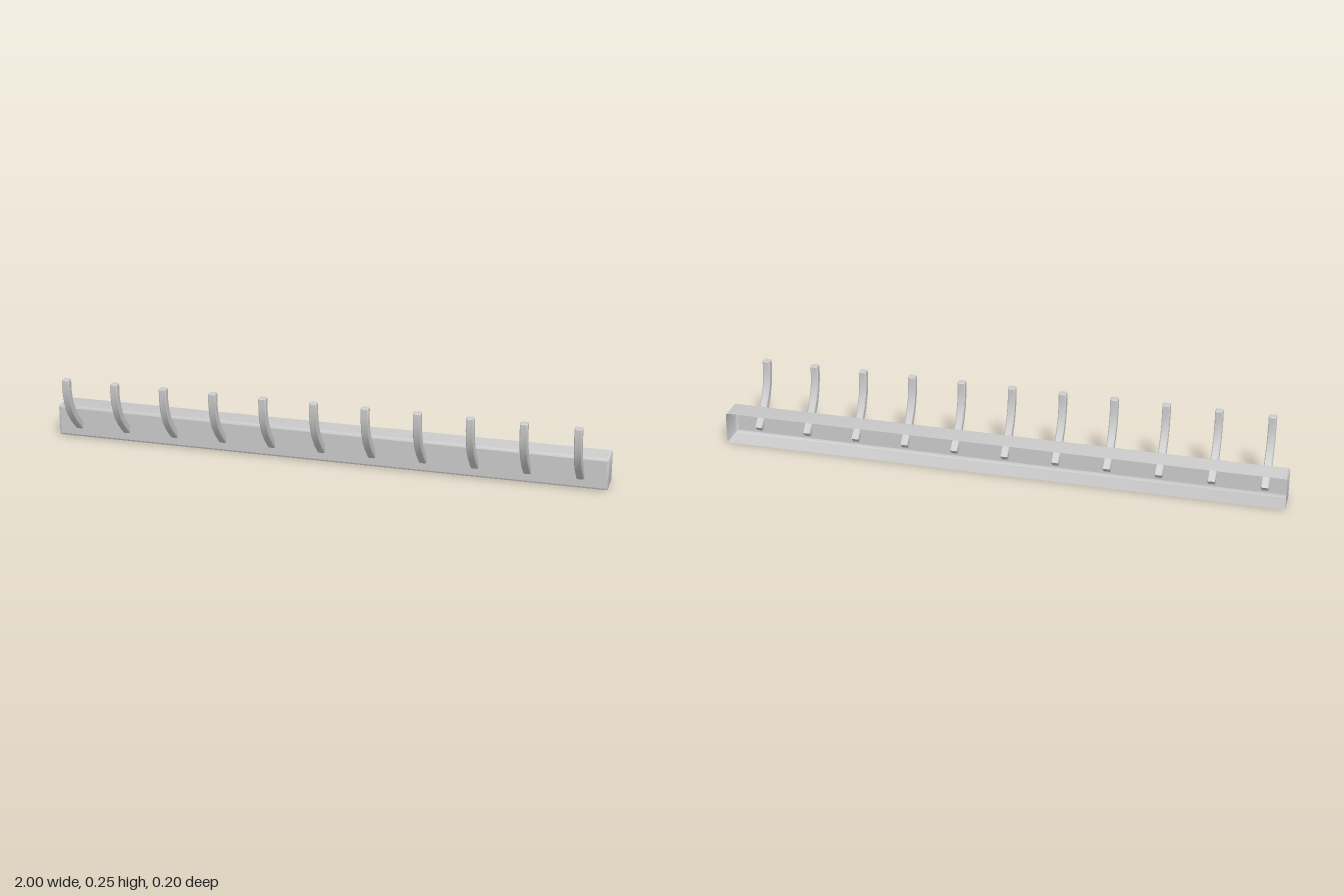
import * as THREE from 'three';
import { toCreasedNormals } from 'three/addons/utils/BufferGeometryUtils.js';

const material = new THREE.MeshStandardMaterial({ color: 0xcccccc, side: THREE.DoubleSide });

// Rectangle outline with rounded corners, inset from the rail's full size
function railLoop(inset, z) {
  const r = 0.008, hx = 1 - inset, hy = 0.0575 - inset, pts = [];
  const rr = Math.max(r - inset, 0.001);
  [[1, 1], [-1, 1], [-1, -1], [1, -1]].forEach(([sx, sy], q) => {
    for (let i = 0; i <= 2; i++) {
      const a = (q + i / 2) * Math.PI / 2;
      pts.push([sx * (hx - rr) + rr * Math.cos(a), 0.0575 + sy * (hy - rr) + rr * Math.sin(a), z]);
    }
  });
  return pts;
}

// Thin shell, open at the back, with softened front edges
function railGeometry() {
  const loops = [railLoop(0, -0.1), railLoop(0, -0.018), railLoop(0.0025, -0.0125), railLoop(0.008, -0.01)];
  const n = loops[0].length;
  const positions = [...loops.flat(2), 0, 0.0575, -0.01];
  const index = [];
  for (let k = 0; k < loops.length - 1; k++) {
    for (let i = 0; i < n; i++) {
      const a = k * n + i, b = k * n + (i + 1) % n;
      index.push(a, b, b + n, a, b + n, a + n);
    }
  }
  // Front panel
  const last = (loops.length - 1) * n;
  for (let i = 0; i < n; i++) index.push(last + i, last + (i + 1) % n, loops.length * n);
  const geometry = new THREE.BufferGeometry();
  geometry.setAttribute('position', new THREE.Float32BufferAttribute(positions, 3));
  geometry.setIndex(index);
  return toCreasedNormals(geometry, 0.4);
}

// Side profile of a hook (z, y), its lower end passing through the front panel
function hookGeometry() {
  const profile = [
    [-0.022, 0.022], [-0.01, 0.033], [0.036, 0.076], [0.067, 0.115], [0.088, 0.162], [0.098, 0.21], [0.098, 0.25],
    [0.095, 0.254], [0.075, 0.254], [0.072, 0.25],
    [0.072, 0.21], [0.063, 0.168], [0.044, 0.13], [0.02, 0.098], [-0.01, 0.068], [-0.04, 0.041],
  ];
  const shape = new THREE.Shape(profile.map(([z, y]) => new THREE.Vector2(z, y)));
  const bevel = 0.003, width = 0.027;
  const geometry = new THREE.ExtrudeGeometry(shape, {
    depth: width - 2 * bevel, bevelEnabled: true, bevelSize: bevel,
    bevelThickness: bevel, bevelOffset: -bevel, bevelSegments: 1,
  });
  geometry.translate(0, 0, bevel - width / 2);
  geometry.rotateY(-Math.PI / 2);
  return toCreasedNormals(geometry, 0.5);
}

export function createModel() {
  const model = new THREE.Group();
  model.name = 'hookRail';

  const rail = new THREE.Mesh(railGeometry(), material);
  rail.name = 'rail';
  model.add(rail);

  // Evenly spaced row of hooks
  const hook = hookGeometry();
  for (let i = 0; i < 11; i++) {
    const mesh = new THREE.Mesh(hook, material);
    mesh.name = `hook${i + 1}`;
    mesh.position.x = -0.92 + i * 0.1825;
    model.add(mesh);
  }
  return model;
}
